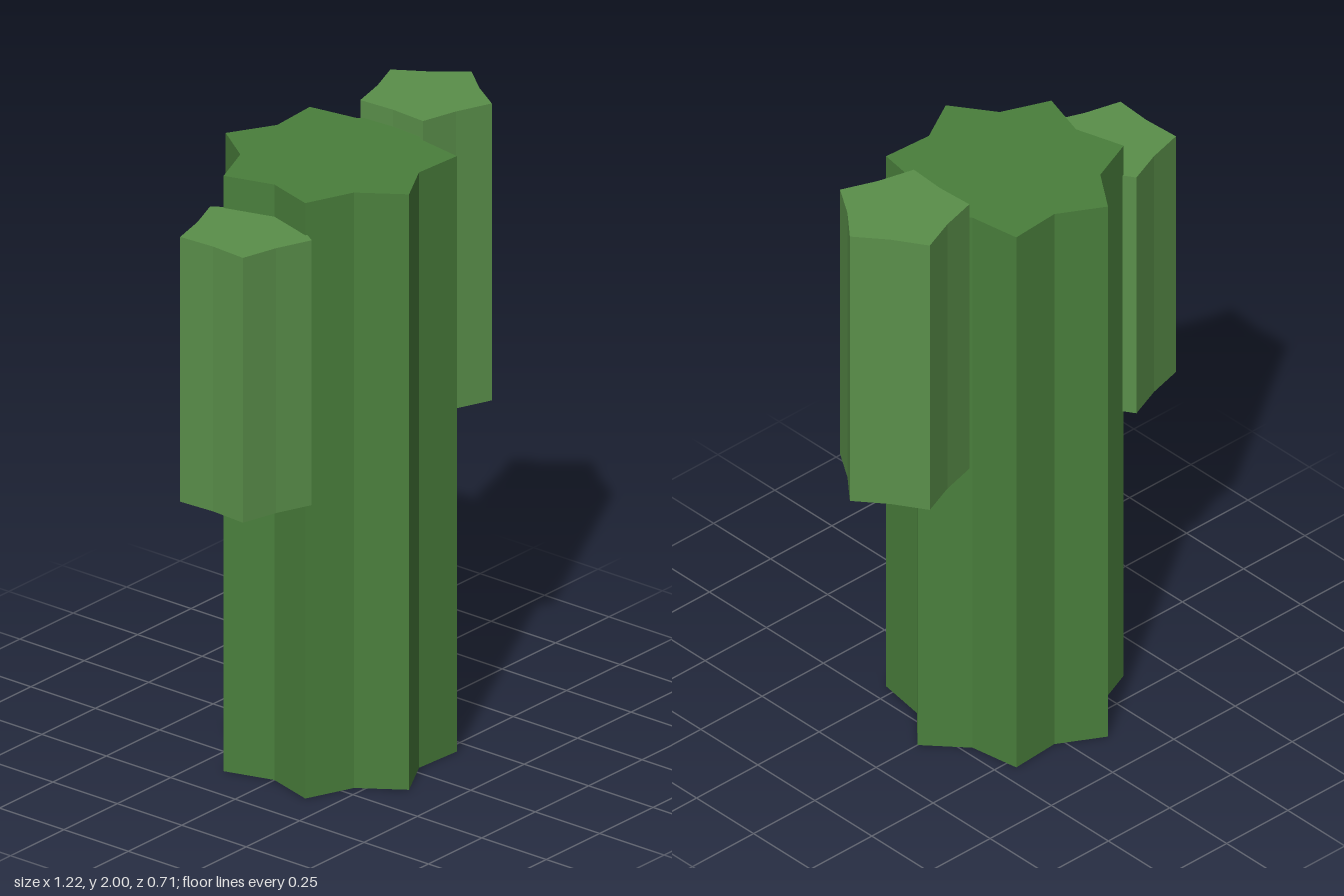
import * as THREE from 'three';

// Upright star-section prism with one rib pointing along +x
function ribbedColumn(name, ribs, outer, inner, x, y0, y1, color) {
  const points = [];
  for (let i = 0; i < ribs * 2; i++) {
    const a = (i * Math.PI) / ribs;
    const r = i % 2 ? inner : outer;
    points.push(new THREE.Vector2(r * Math.cos(a), r * Math.sin(a)));
  }
  const geometry = new THREE.ExtrudeGeometry(new THREE.Shape(points), {
    depth: y1 - y0,
    bevelEnabled: false,
  });
  geometry.rotateX(-Math.PI / 2);
  const material = new THREE.MeshStandardMaterial({ color, flatShading: true });
  const mesh = new THREE.Mesh(geometry, material);
  mesh.name = name;
  mesh.position.set(x, y0, 0);
  return mesh;
}

export function createModel() {
  const cactus = new THREE.Group();
  cactus.name = 'cactus';
  cactus.add(
    // Seven-ribbed trunk
    ribbedColumn('trunk', 7, 0.365, 0.282, -0.034, 0, 1.945, 0x4a7f3c),
    // Five-ribbed arms pressed into the trunk, the left one taller
    ribbedColumn('leftArm', 5, 0.207, 0.16, 0.4, 1.03, 2, 0x5a8f4a),
    ribbedColumn('rightArm', 5, 0.207, 0.16, -0.443, 0.975, 1.84, 0x5a8f4a),
  );
  return cactus;
}
